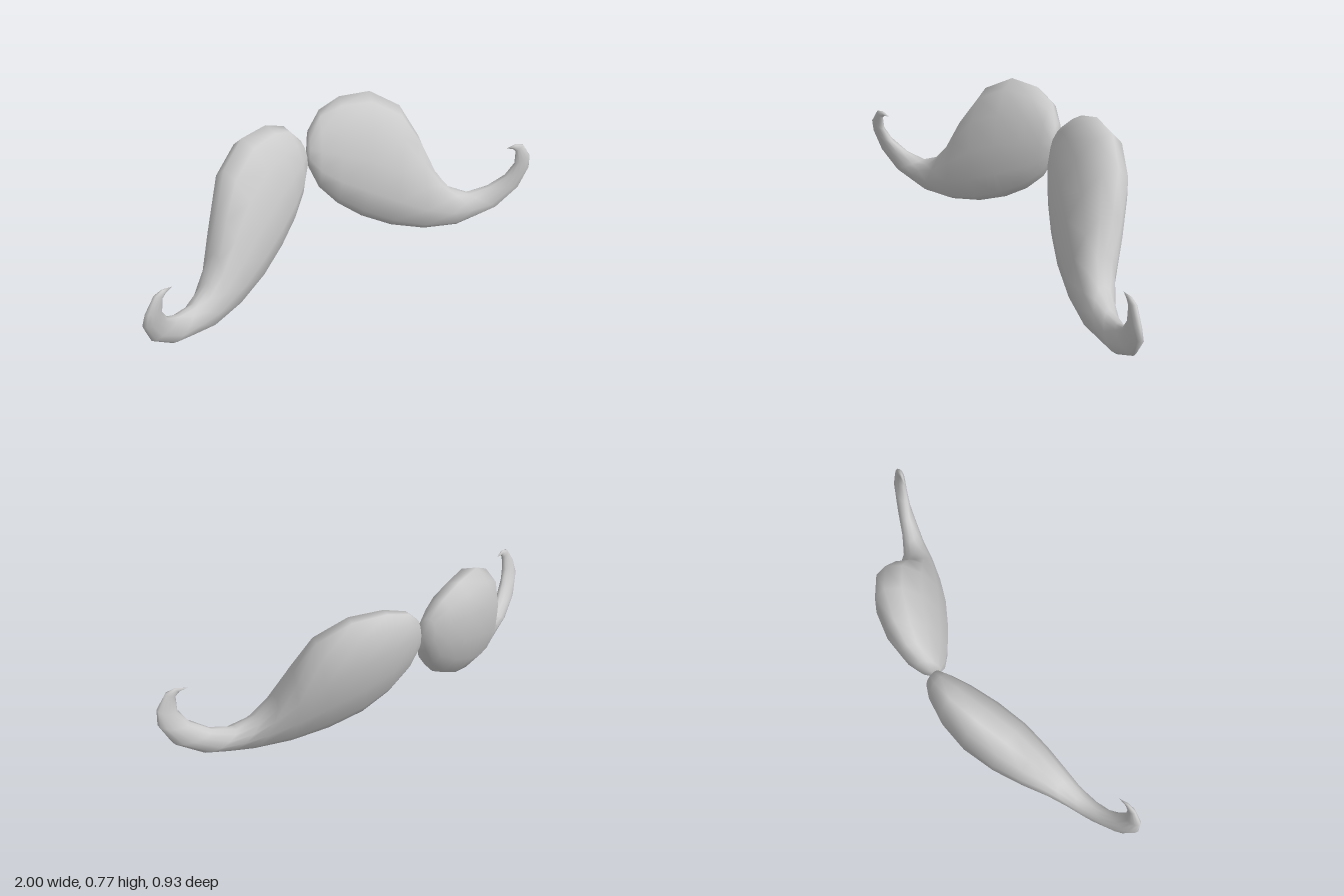
import * as THREE from 'three';

const SIDES = 12;

// Stations from the inner end to the curled tip:
// [upper edge u, v, lower edge u, v, half thickness, offset of the centre line to the front]
const STATIONS = [
  [0.015, 0.10, 0.01, -0.08, 0.045, -0.005],
  [0.07, 0.18, 0.06, -0.19, 0.075, -0.02],
  [0.17, 0.225, 0.15, -0.29, 0.108, -0.035],
  [0.32, 0.225, 0.27, -0.38, 0.13, -0.045],
  [0.465, 0.135, 0.42, -0.455, 0.128, -0.045],
  [0.56, -0.03, 0.59, -0.505, 0.105, -0.045],
  [0.63, -0.20, 0.76, -0.517, 0.075, -0.045],
  [0.71, -0.31, 0.87, -0.492, 0.055, -0.05],
  [0.81, -0.36, 0.97, -0.465, 0.045, -0.05],
  [0.91, -0.345, 1.08, -0.375, 0.035, -0.035],
  [0.99, -0.30, 1.12, -0.27, 0.03, -0.005],
  [1.03, -0.235, 1.11, -0.205, 0.022, 0.025],
  [1.025, -0.165, 1.06, -0.135, 0.014, 0.05],
  [1.005, -0.147, 1.02, -0.125, 0.008, 0.058],
];
const INNER_END = [0, 0, 0];
const TIP = [0.97, -0.14, 0.06];

// Elliptical rings lofted along the stations, closed by a point at each end
function halfGeometry(matrix) {
  const points = [INNER_END];
  for (const [uu, uv, lu, lv, h, w] of STATIONS) {
    for (let j = 0; j < SIDES; j++) {
      const a = (j / SIDES) * Math.PI * 2;
      const t = (1 + Math.cos(a)) / 2;
      points.push([lu + (uu - lu) * t, lv + (uv - lv) * t, w + h * Math.sin(a)]);
    }
  }
  points.push(TIP);

  const index = [];
  const mirrored = matrix.determinant() < 0;
  const tri = (a, b, c) => index.push(...(mirrored ? [a, c, b] : [a, b, c]));
  const id = (i, j) => 1 + i * SIDES + (j % SIDES);
  const last = STATIONS.length - 1;
  for (let j = 0; j < SIDES; j++) {
    tri(0, id(0, j + 1), id(0, j));
    for (let i = 0; i < last; i++) {
      tri(id(i, j), id(i, j + 1), id(i + 1, j));
      tri(id(i, j + 1), id(i + 1, j + 1), id(i + 1, j));
    }
    tri(id(last, j), id(last, j + 1), points.length - 1);
  }

  const geometry = new THREE.BufferGeometry();
  geometry.setAttribute('position', new THREE.Float32BufferAttribute(points.flat(), 3));
  geometry.setIndex(index);
  geometry.applyMatrix4(matrix);
  geometry.computeVertexNormals();
  return geometry;
}

// Places a half by its outward axis, upward axis and inner end
function placement(outward, upward, origin) {
  const u = new THREE.Vector3(...outward);
  const v = new THREE.Vector3(...upward);
  const n = new THREE.Vector3().crossVectors(u, v).normalize();
  if (n.z < 0) n.negate();
  return new THREE.Matrix4().makeBasis(u, v, n).setPosition(...origin);
}

export function createModel() {
  const group = new THREE.Group();
  group.name = 'moustache';
  const material = new THREE.MeshStandardMaterial({ color: 0xcccccc });
  const add = (name, matrix) => {
    const mesh = new THREE.Mesh(halfGeometry(matrix), material);
    mesh.name = name;
    group.add(mesh);
  };

  // Right half faces the front; left half swings forward and tilts up a little
  add('rightHalf', placement([-1, 0, 0.02], [0, 1, -0.2], [0.12, 0.528, -0.297]));
  add('leftHalf', placement([0.83, 0.04, 0.619], [0.227, 0.98, -0.215], [0.132, 0.552, -0.287]));
  return group;
}
